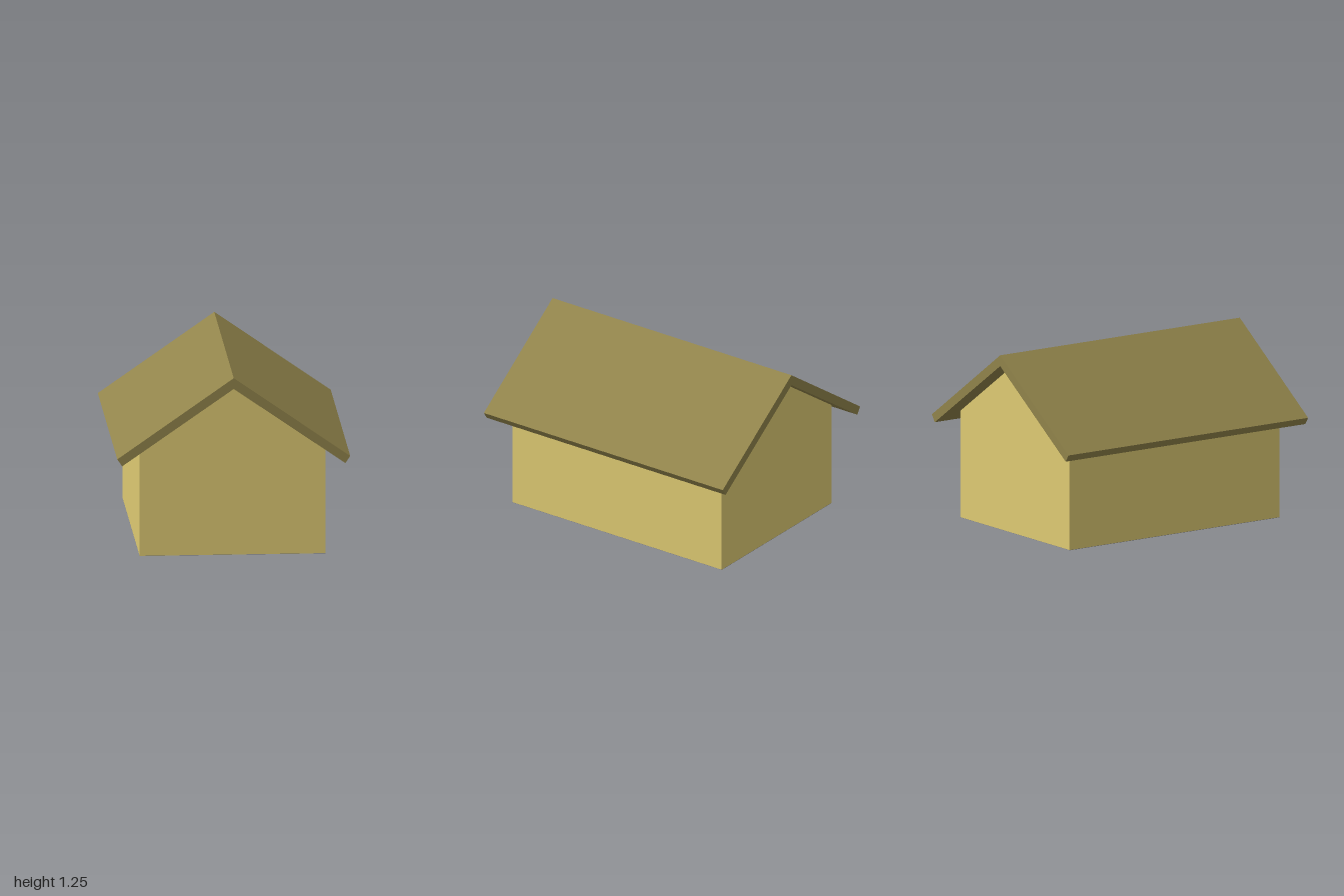
import * as THREE from 'three';

// Extrude an outline of [x, y] points along z, centred on z = 0
function prism(name, points, depth, color) {
  const shape = new THREE.Shape(points.map(([x, y]) => new THREE.Vector2(x, y)));
  const geometry = new THREE.ExtrudeGeometry(shape, { depth, bevelEnabled: false });
  geometry.translate(0, 0, -depth / 2);
  const material = new THREE.MeshStandardMaterial({ color });
  const mesh = new THREE.Mesh(geometry, material);
  mesh.name = name;
  return mesh;
}

export function createModel() {
  const group = new THREE.Group();
  group.name = 'house';

  // Gabled body
  const halfWidth = 0.63, wallDepth = 1.75, base = 0.002;
  group.add(prism('walls', [
    [-halfWidth, base], [halfWidth, base], [halfWidth, 0.742], [0, 1.18], [-halfWidth, 0.742],
  ], wallDepth, 0xdfcb73));

  // Folded roof slab overhanging on all sides
  group.add(prism('roof', [
    [-0.79, 0.703], [-0.757, 0.654], [0, 1.18], [0.757, 0.654], [0.79, 0.703], [0, 1.255],
  ], 2, 0x91844b));

  // Dark floor closing the underside
  const floor = new THREE.Mesh(
    new THREE.BoxGeometry(halfWidth * 2, base, wallDepth),
    new THREE.MeshStandardMaterial({ color: 0x888888 })
  );
  floor.name = 'floor';
  floor.position.y = base / 2;
  group.add(floor);

  return group;
}
